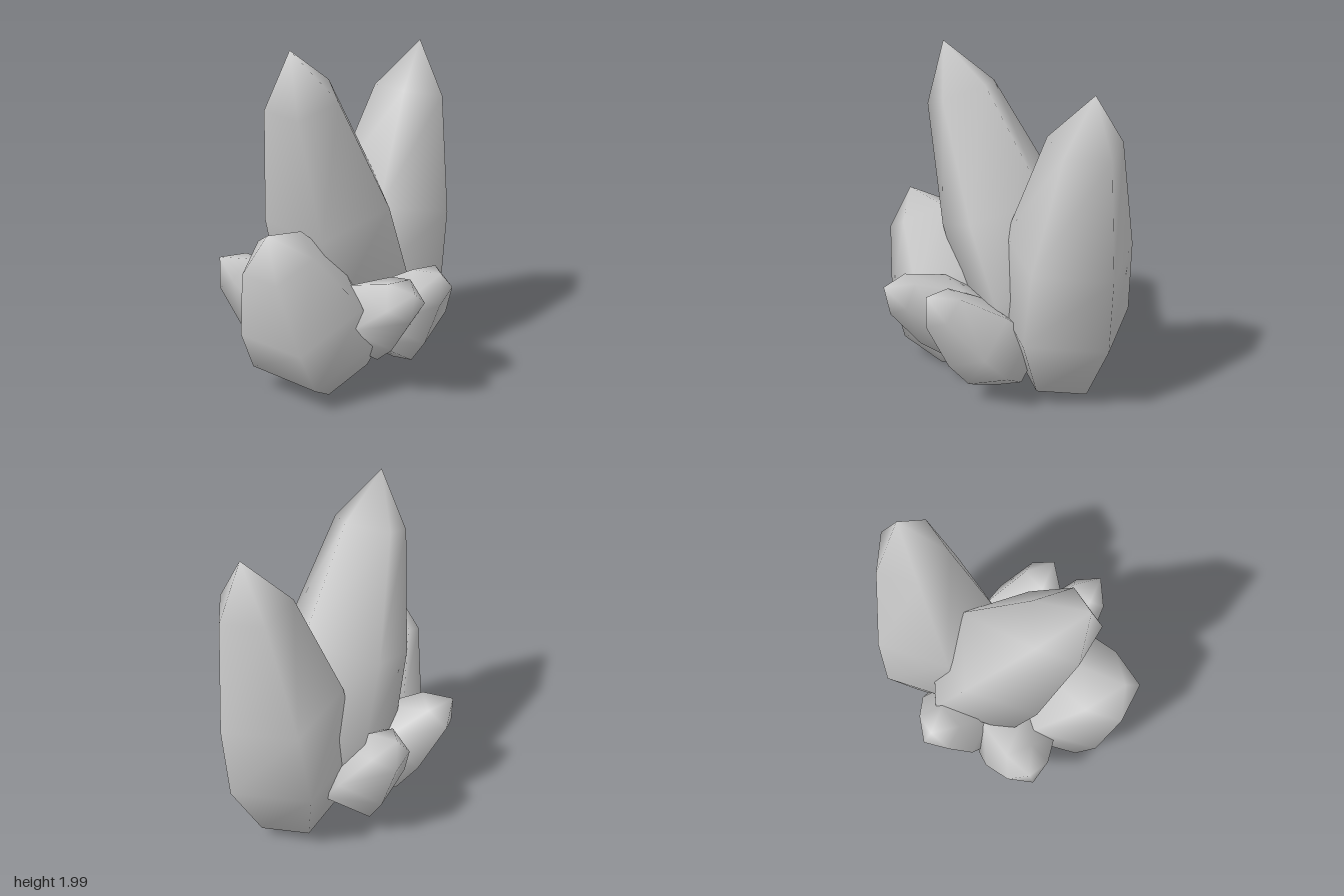
import * as THREE from 'three';

const SIDES = 5;
// Shared crystal outline: [fraction of length, fraction of radius]
const PROFILE = [[0.03, 0.65], [0.24, 1.07], [0.48, 1], [0.84, 0.57]];

// Five-sided crystal standing on y = 0, with smooth shared normals
function crystalGeometry(length, radius, startDeg, bend) {
  const positions = [], index = [];
  for (const [t, r] of PROFILE) {
    const shift = bend * 4 * t * (1 - t);
    for (let j = 0; j < SIDES; j++) {
      const a = THREE.MathUtils.degToRad(startDeg) + (j / SIDES) * Math.PI * 2;
      positions.push(Math.cos(a) * r * radius, t * length, Math.sin(a) * r * radius + shift);
    }
  }
  const last = (PROFILE.length - 1) * SIDES;
  const tip = PROFILE.length * SIDES, bottom = tip + 1;
  positions.push(0, length, 0, 0, 0, 0);
  for (let j = 0; j < SIDES; j++) {
    const k = (j + 1) % SIDES;
    for (let row = 0; row < last; row += SIDES) {
      const a = row + j, b = row + k, c = a + SIDES, d = b + SIDES;
      index.push(a, c, b, b, c, d);
    }
    index.push(last + j, tip, last + k);
    index.push(bottom, j, k);
  }
  const g = new THREE.BufferGeometry();
  g.setAttribute('position', new THREE.Float32BufferAttribute(positions, 3));
  g.setIndex(index);
  g.computeVertexNormals();
  return g;
}

// name, base, tip, radius, angle of the first edge, bulge of the axis along z
const CRYSTALS = [
  ['tallCrystal', [-0.14, 0.18, -0.24], [-0.04, 2, 0.5], 0.38, 60, -0.01],
  ['backCrystal', [-0.08, 0.07, -0.35], [0.03, 1.9, -0.63], 0.38, -76, 0.04],
  ['frontCrystal', [0, 0.085, 0.21], [0, 1.05, 0.76], 0.375, 57, 0],
  ['rightFrontShard', [-0.2, 0.18, 0.1], [-0.63, 0.7, 0.46], 0.24, 130, 0],
  ['rightBackShard', [-0.23, 0.18, -0.09], [-0.66, 0.78, -0.16], 0.24, 205, 0],
  ['leftFrontShard', [0.06, 0.31, 0.09], [0.67, 0.74, 0.34], 0.225, 23, 0],
  ['leftBackShard', [0.1, 0.17, -0.17], [0.64, 0.76, 0.04], 0.235, 23, 0],
];

export function createModel() {
  const group = new THREE.Group();
  group.name = 'crystalCluster';
  const material = new THREE.MeshStandardMaterial({ color: 0xcccccc });
  const up = new THREE.Vector3(0, 1, 0);
  for (const [name, base, tip, radius, start, bend] of CRYSTALS) {
    const from = new THREE.Vector3(...base);
    const axis = new THREE.Vector3(...tip).sub(from);
    const mesh = new THREE.Mesh(crystalGeometry(axis.length(), radius, start, bend), material);
    mesh.name = name;
    mesh.position.copy(from);
    mesh.quaternion.setFromUnitVectors(up, axis.normalize());
    group.add(mesh);
  }
  return group;
}
